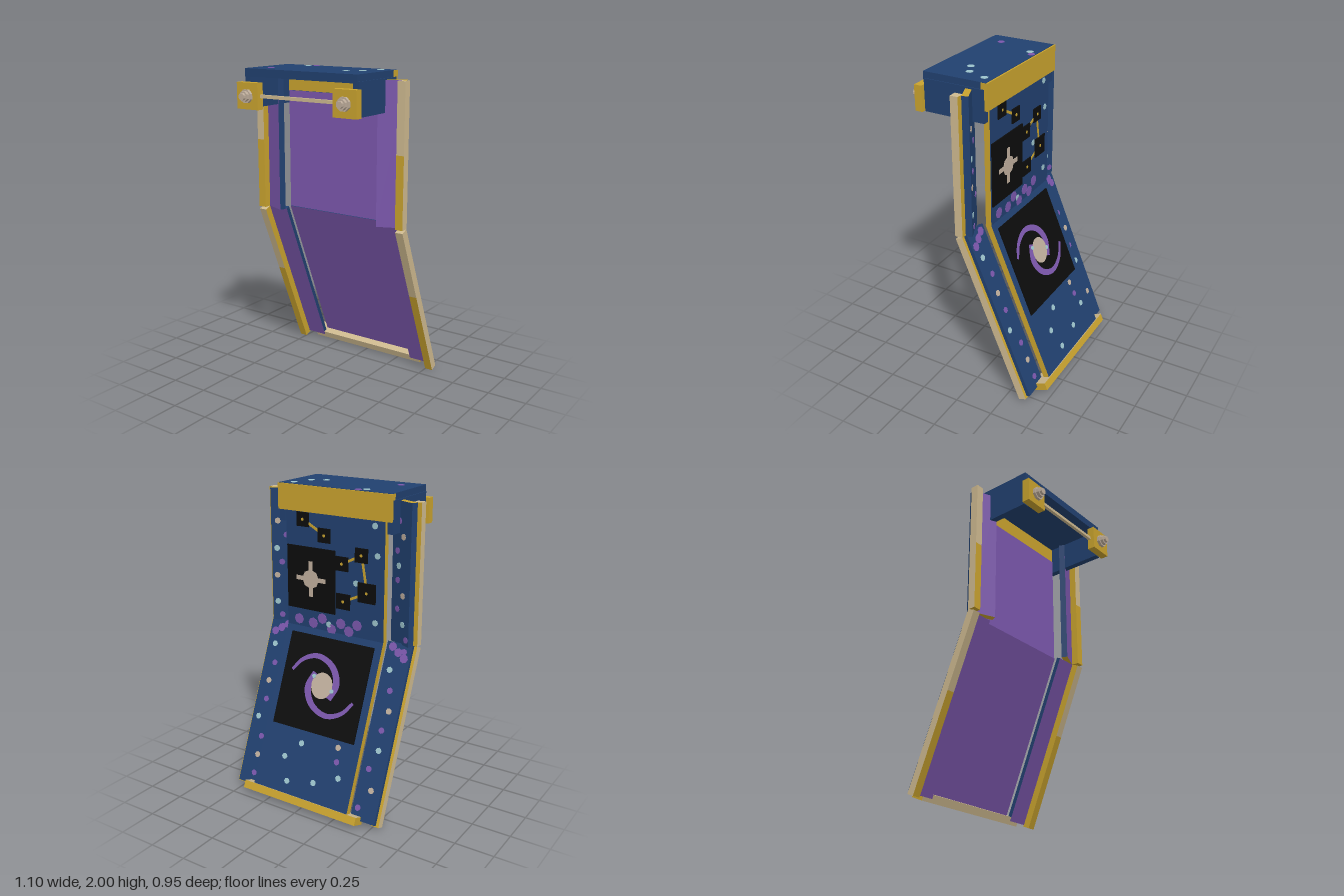
import * as THREE from 'three';

const mat = (name, color) => {
  const m = new THREE.MeshStandardMaterial({ color });
  m.name = name;
  return m;
};

export function createModel() {
  const navy = mat('navy cloth', 0x21406f), purple = mat('purple lining', 0x7b57ac);
  const gold = mat('gold trim', 0xc8a22e), tan = mat('pale gold', 0xcdb98f);
  const teal = mat('pale teal', 0x9cc3cb), black = mat('night black', 0x0c0c0c);
  const cream = mat('star cream', 0xbfae9c);
  const TILT = Math.PI / 8, FOLD = 1.07;
  const model = new THREE.Group();
  model.name = 'cape';

  const group = (name, parent, x = 0, y = 0, z = 0) => {
    const g = new THREE.Group();
    g.name = name;
    g.position.set(x, y, z);
    parent.add(g);
    return g;
  };
  const add = (name, parent, geo, m, x = 0, y = 0, z = 0) => {
    const mesh = new THREE.Mesh(geo, m);
    mesh.name = name;
    mesh.position.set(x, y, z);
    parent.add(mesh);
    return mesh;
  };
  // box given by its limits on each axis
  const box = (name, parent, m, [x0, x1], [y0, y1], [z0, z1]) =>
    add(name, parent, new THREE.BoxGeometry(x1 - x0, y1 - y0, z1 - z0), m,
      (x0 + x1) / 2, (y0 + y1) / 2, (z0 + z1) / 2);
  const flat = (shape) => new THREE.ExtrudeGeometry(shape, { depth: 0.003, bevelEnabled: false, curveSegments: 10 });
  // small octagonal fleck lying on a panel's back at depth z
  const fleck = (parent, m, x, y, z, r = 0.02) => {
    const geo = new THREE.CylinderGeometry(r, r, 0.004, 8).rotateX(Math.PI / 2);
    return add('fleck', parent, geo, m, x, y, z);
  };
  let seed = 7;
  const rnd = () => (seed = (seed * 16807) % 2147483647) / 2147483647;

  // upper and lower main panels, lower one swung back from the fold
  const panelMats = [gold, gold, navy, gold, purple, navy];
  const upper = group('upperBack', model);
  box('upperPanel', upper, panelMats, [-0.36, 0.36], [FOLD, 1.84], [-0.038, 0]);
  const lower = group('lowerBack', model, 0, FOLD, 0);
  lower.rotation.x = TILT;
  box('lowerPanel', lower, panelMats, [-0.36, 0.36], [-1.085, 0.01], [-0.04, 0]);
  box('hemBar', lower, [gold, gold, tan, gold, tan, gold], [-0.43, 0.43], [-1.13, -1.08], [-0.047, 0.046]);

  // shoulder hood
  const hood = group('shoulderHood', model);
  box('hoodTop', hood, navy, [-0.405, 0.405], [1.95, 2], [-0.045, 0.372]);
  for (const s of [-1, 1])
    add('hoodSide', hood, new THREE.BoxGeometry(0.04, 0.2, 0.4), navy, s * 0.391, 1.86, 0.165);
  box('backBand', hood, gold, [-0.408, 0.408], [1.835, 1.998], [-0.055, -0.012]);

  // clasps, studs and the bar between them
  const clasps = group('clasps', model);
  box('claspBar', clasps, tan, [-0.28, 0.28], [1.83, 1.85], [0.375, 0.395]);
  for (const s of [-1, 1]) {
    add('claspPlate', clasps, new THREE.BoxGeometry(0.16, 0.16, 0.05), gold, s * 0.352, 1.84, 0.395);
    [[0.043, 0.438], [0.033, 0.458], [0.022, 0.474]].forEach(([r, z]) => {
      const geo = new THREE.CylinderGeometry(r, r, z - 0.41, 8).toNonIndexed();
      geo.computeVertexNormals();
      geo.rotateY(TILT).rotateX(Math.PI / 2);
      add('claspStud', clasps, geo, cream, s * 0.352, 1.84, (z + 0.41) / 2);
    });
  }

  // side wings with outer trim, upper angled inward, lower following the fold
  for (const s of [-1, 1]) {
    const side = s > 0 ? 'left' : 'right';
    const wing = group(side + 'UpperWing', model, s * 0.44, 1.51, 0.052);
    wing.rotation.y = s * TILT;
    box('wingPanel', wing, [navy, navy, gold, gold, purple, navy], [-0.085, 0.085], [-0.44, 0.44], [-0.02, 0.02]);
    const low = group(side + 'LowerWing', model, 0, FOLD, 0.05);
    low.rotation.x = TILT;
    box('wingPanel', low, [navy, navy, navy, gold, purple, navy],
      s > 0 ? [0.357, 0.53] : [-0.53, -0.357], [-1.125, 0], [-0.026, 0.001]);

    const sides = s > 0 ? [tan, gold] : [gold, tan];
    const trimX = s > 0 ? [0.498, 0.55] : [-0.55, -0.498];
    const paleMats = [...sides, tan, gold, tan, gold], goldMats = [...sides, gold, gold, gold, gold];
    box('upperTrim', model, paleMats, trimX, [1.52, 1.95], [0.046, 0.097]);
    box('upperTrim', model, goldMats, trimX, [FOLD, 1.52], [0.046, 0.097]);
    box('lowerTrim', low, paleMats, trimX, [-0.5, 0], [-0.002, 0.048]);
    box('lowerTrim', low, goldMats, trimX, [-1.135, -0.5], [-0.002, 0.048]);

    // scattered flecks on the wing backs
    for (let i = 0; i < 9; i++) {
      const m = [purple, teal, purple, cream][i % 4];
      fleck(wing, m, (rnd() - 0.5) * 0.12, -0.4 + i * 0.09, -0.021);
      fleck(low, m, s * (0.39 + rnd() * 0.1), -0.05 - i * 0.125, -0.027);
    }
    for (let i = 0; i < 3; i++) fleck(low, purple, s * (0.4 + i * 0.045), -0.03 - i * 0.03, -0.027, 0.028);
  }

  // spiral galaxy on the lower back
  const galaxy = group('galaxy', lower, 0, -0.35, -0.045);
  box('galaxyField', galaxy, black, [-0.31, 0.31], [-0.305, 0.305], [-0.004, 0.006]);
  const arm = new THREE.CatmullRomCurve3([[0.06, 0.07], [0.1, -0.03], [0.05, -0.13], [-0.07, -0.18], [-0.18, -0.14], [-0.245, -0.06]]
    .map(([x, y]) => new THREE.Vector3(x, y, 0)));
  const left = [], right = [];
  for (let i = 0; i <= 24; i++) {
    const t = i / 24, p = arm.getPoint(t), d = arm.getTangent(t), w = 0.028 - 0.018 * t;
    left.push(new THREE.Vector2(p.x - d.y * w, p.y + d.x * w));
    right.unshift(new THREE.Vector2(p.x + d.y * w, p.y - d.x * w));
  }
  const armShape = new THREE.Shape([...left, ...right]);
  for (const a of [0, Math.PI]) add('galaxyArm', galaxy, flat(armShape), purple, 0, 0, -0.007).rotation.z = a;
  const core = new THREE.Shape().absellipse(0, 0, 0.078, 0.085, 0, Math.PI * 2);
  add('galaxyCore', galaxy, flat(core), cream, 0, 0, -0.009);
  fleck(galaxy, teal, -0.08, -0.02, -0.009, 0.014);
  fleck(galaxy, teal, 0.07, 0.05, -0.01, 0.014);

  // large star on its dark field
  const star = group('star', upper, 0.17, 1.41, -0.043);
  box('starField', star, black, [-0.18, 0.18], [-0.205, 0.205], [-0.004, 0.004]);
  box('starRay', star, cream, [-0.11, 0.11], [-0.014, 0.014], [-0.008, -0.003]);
  box('starRay', star, cream, [-0.014, 0.014], [-0.115, 0.115], [-0.008, -0.003]);
  fleck(star, cream, 0, 0, -0.007, 0.062);

  // linked constellation tiles
  const tiles = [[0.23, 1.785, 0.09], [0.07, 1.7, 0.09], [-0.06, 1.54, 0.09], [-0.2, 1.61, 0.09], [-0.24, 1.38, 0.125], [-0.07, 1.3, 0.1]];
  const sky = group('constellation', upper, 0, 0, -0.043);
  tiles.forEach(([x, y, d]) => {
    box('tile', sky, black, [x - d / 2, x + d / 2], [y - d / 2, y + d / 2], [-0.004, 0.004]);
    fleck(sky, gold, x, y, -0.004, 0.01);
  });
  for (const [a, b] of [[0, 1], [2, 3], [3, 4], [4, 5]]) {
    const [x0, y0] = tiles[a], [x1, y1] = tiles[b];
    const link = add('link', sky, new THREE.BoxGeometry(Math.hypot(x1 - x0, y1 - y0), 0.016, 0.004), gold,
      (x0 + x1) / 2, (y0 + y1) / 2, 0.003);
    link.rotation.z = Math.atan2(y1 - y0, x1 - x0);
  }

  // flecks on the back panels and hood
  [[-0.31, 1.62], [-0.3, 1.2], [0.04, 1.13], [-0.16, 1.43], [-0.29, 1.8]].forEach(([x, y]) => fleck(upper, teal, x, y, -0.039));
  [[0.16, 1.12], [0.09, 1.16], [0.02, 1.1], [-0.05, 1.15], [-0.11, 1.11], [-0.17, 1.16], [0.27, 1.13]]
    .forEach(([x, y]) => fleck(upper, purple, x, y, -0.039, 0.035));
  [[0.115, -1], [-0.25, -0.885], [0.065, -0.74], [-0.08, -0.96], [0.17, -0.85]].forEach(([x, y]) => fleck(lower, teal, x, y, -0.041));
  fleck(lower, purple, -0.215, -0.79, -0.041);
  fleck(lower, cream, -0.205, -0.7, -0.041);
  [[-0.2, 0.01, teal], [0.33, 0.01, teal], [0.285, 0.135, teal], [0.2, 0.18, teal], [-0.16, -0.02, purple], [-0.29, 0.265, purple]]
    .forEach(([x, z, m]) => { fleck(hood, m, x, 2, z, 0.023).rotation.x = Math.PI / 2; });
  return model;
}
